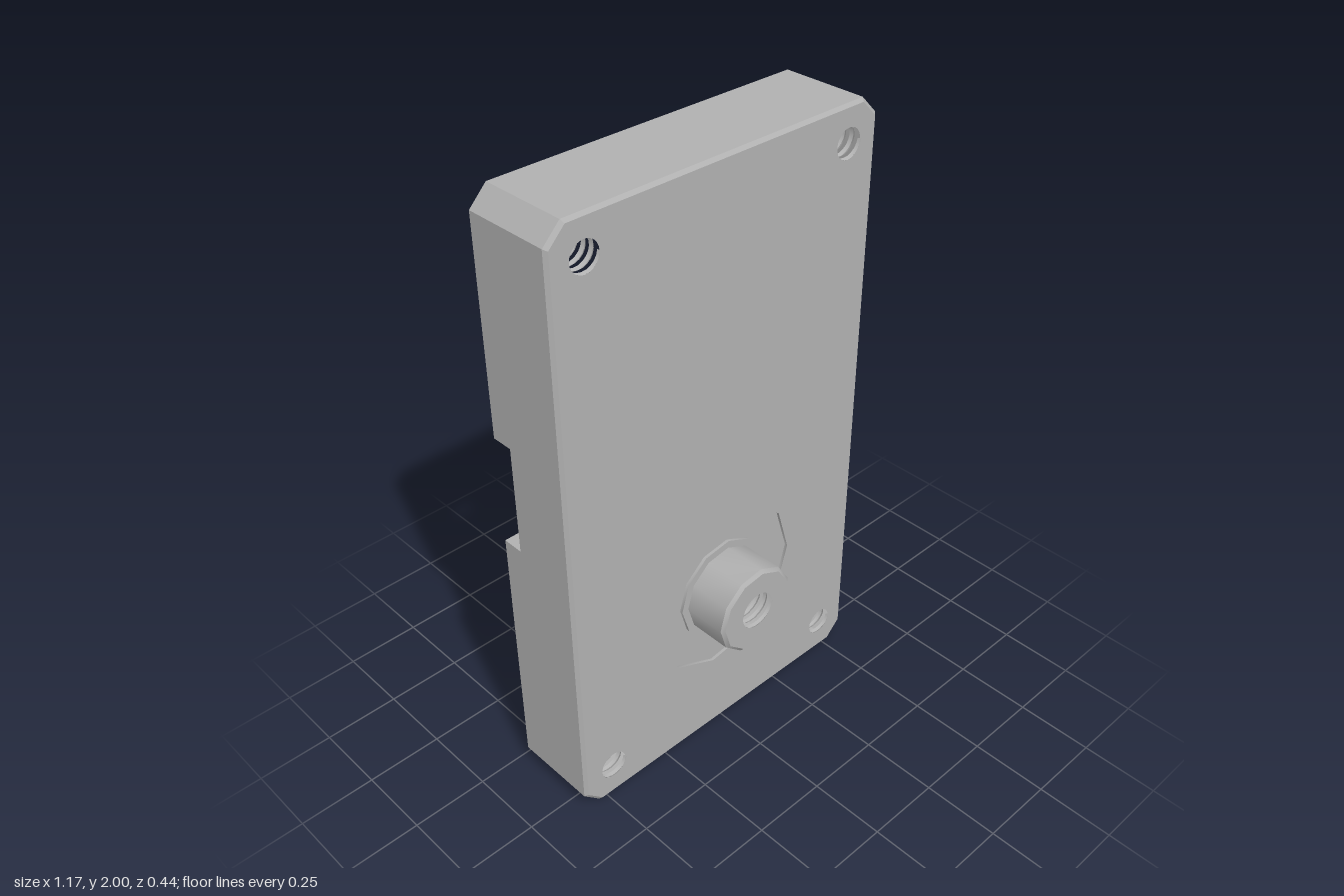
import * as THREE from 'three';
import { toCreasedNormals } from 'three/addons/utils/BufferGeometryUtils.js';

const W = 0.585, C = 0.057;             // half width, corner chamfer
const FRONT = 0.07, EDGE = 0.06, BACK = -0.22;
const NOTCH = { y0: 0.915, y1: 1.27, z: -0.15, inner: 0.52 };
const KNOB_Y = 0.565, SIDES = 11;

const grey = new THREE.MeshStandardMaterial({ color: 0xb0b0b0, side: THREE.DoubleSide });
grey.name = 'grey';

function part(name, geometry) {
  const mesh = new THREE.Mesh(geometry, grey);
  mesh.name = name;
  return mesh;
}

// Flat four-sided faces, each given as four corners
function quads(list) {
  const pos = [];
  for (const [a, b, c, d] of list) pos.push(...a, ...b, ...c, ...a, ...c, ...d);
  const g = new THREE.BufferGeometry();
  g.setAttribute('position', new THREE.Float32BufferAttribute(pos, 3));
  g.computeVertexNormals();
  return g;
}

// Chamfered rectangle, anticlockwise from the front
function outline(inset) {
  const w = W - inset, b = inset, t = 2 - inset, c = C - inset * 0.4;
  return [[-w + c, b], [w - c, b], [w, b + c], [w, t - c],
    [w - c, t], [-w + c, t], [-w, t - c], [-w, b + c]];
}

function ringPoints(x, y, r, n, start = 0) {
  return Array.from({ length: n }, (_, i) => {
    const a = start + (i / n) * Math.PI * 2;
    return new THREE.Vector2(x + r * Math.cos(a), y + r * Math.sin(a));
  });
}

function plate(points, holes, z) {
  const shape = new THREE.Shape(points);
  shape.holes = holes.map((h) => new THREE.Path(h));
  return new THREE.ShapeGeometry(shape).translate(0, 0, z);
}

// Surface turned around the knob axis; profile points are [radius, z]
function turned(profile, start) {
  const g = new THREE.LatheGeometry(profile.map((p) => new THREE.Vector2(...p)), SIDES, start);
  g.rotateX(Math.PI / 2).translate(0, KNOB_Y, 0);
  return toCreasedNormals(g, 0.65);
}

// Helical ribbon with a shallow V section, as a screw thread
function thread(r, z0, z1, turns) {
  const steps = turns * 20, pitch = (z1 - z0) / turns;
  const section = [[0, -0.3], [0.2 * pitch, 0], [0, 0.3]];
  const pos = [], index = [];
  for (let i = 0; i <= steps; i++) {
    const a = (i / 20) * Math.PI * 2, z = z0 + (i / 20) * pitch;
    for (const [dr, dz] of section) {
      const zz = Math.min(z1, Math.max(z0, z + dz * pitch));
      pos.push((r + dr) * Math.cos(a), (r + dr) * Math.sin(a), zz);
    }
    if (i < steps) {
      for (let k = 0; k < 2; k++) {
        const p = i * 3 + k;
        index.push(p, p + 1, p + 3, p + 1, p + 4, p + 3);
      }
    }
  }
  const g = new THREE.BufferGeometry();
  g.setAttribute('position', new THREE.Float32BufferAttribute(pos, 3));
  g.setIndex(index);
  return toCreasedNormals(g, 0.5);
}

export function createModel() {
  const model = new THREE.Group();
  model.name = 'enclosureCover';
  const outer = outline(0), inner = outline(0.01);
  const screws = [];
  for (const x of [-0.47, 0.47]) for (const y of [0.12, 1.885]) screws.push([x, y]);

  // Front plate with screw holes and the opening for the round recess
  const holes = screws.map(([x, y]) => ringPoints(x, y, 0.047, 24));
  holes.push(ringPoints(0, KNOB_Y, 0.29, SIDES));
  model.add(part('frontPlate', plate(inner.map((p) => new THREE.Vector2(...p)), holes, FRONT)));

  // Thin walls, open at the back, and the bevel around the front
  const walls = [], bevel = [];
  const wall = (a, b, back) => walls.push([[...a, back], [...b, back], [...b, EDGE], [...a, EDGE]]);
  for (let i = 0; i < 8; i++) {
    const j = (i + 1) % 8, a = outer[i], b = outer[j];
    bevel.push([[...a, EDGE], [...b, EDGE], [...inner[j], FRONT], [...inner[i], FRONT]]);
    if (i === 2 || i === 6) {
      const x = a[0], [n0, n1] = i === 2 ? [NOTCH.y0, NOTCH.y1] : [NOTCH.y1, NOTCH.y0];
      wall(a, [x, n0], BACK);
      wall([x, n0], [x, n1], NOTCH.z);
      wall([x, n1], b, BACK);
    } else wall(a, b, BACK);
  }
  model.add(part('walls', quads(walls)), part('frontBevel', quads(bevel)));

  // Inward lips of the two side notches
  for (const s of [-1, 1]) {
    const xo = s * W, xi = s * NOTCH.inner, { y0, y1, z } = NOTCH;
    const lips = [[[xi, y0, z], [xi, y1, z], [xo, y1, z], [xo, y0, z]]];
    for (const y of [y0, y1]) lips.push([[xi, y, z], [xo, y, z], [xo, y, BACK], [xi, y, BACK]]);
    model.add(part(s > 0 ? 'leftNotchLip' : 'rightNotchLip', quads(lips)));
  }

  // Shallow round recess with a raised collar
  const rim = ringPoints(0, KNOB_Y, 0.29, SIDES);
  const collar = ringPoints(0, KNOB_Y, 0.172, SIDES, Math.PI);
  const base = ringPoints(0, KNOB_Y, 0.147, SIDES, Math.PI);
  model.add(
    part('recessWall', turned([[0.29, EDGE], [0.29, FRONT]], Math.PI / 2)),
    part('recessFloor', plate(rim, [collar], EDGE)),
    part('collarWall', turned([[0.172, EDGE], [0.172, FRONT]], -Math.PI / 2)),
    part('collarFace', plate(collar, [base], FRONT)),
  );

  // Hollow boss with a bevelled end and a central hole
  model.add(
    part('boss', turned([[0.147, FRONT], [0.147, 0.21], [0.136, 0.22]], -Math.PI / 2)),
    part('bossEnd', plate(ringPoints(0, KNOB_Y, 0.136, SIDES, Math.PI),
      [ringPoints(0, KNOB_Y, 0.062, 24)], 0.22)),
  );

  // Screw threads
  const screwThread = thread(0.047, -0.17, FRONT, 8);
  for (const [x, y] of screws) {
    const mesh = part('screwThread', screwThread);
    mesh.position.set(x, y, 0);
    model.add(mesh);
  }
  const bossThread = part('bossThread', thread(0.062, 0.05, 0.22, 6));
  bossThread.position.y = KNOB_Y;
  model.add(bossThread);
  return model;
}
